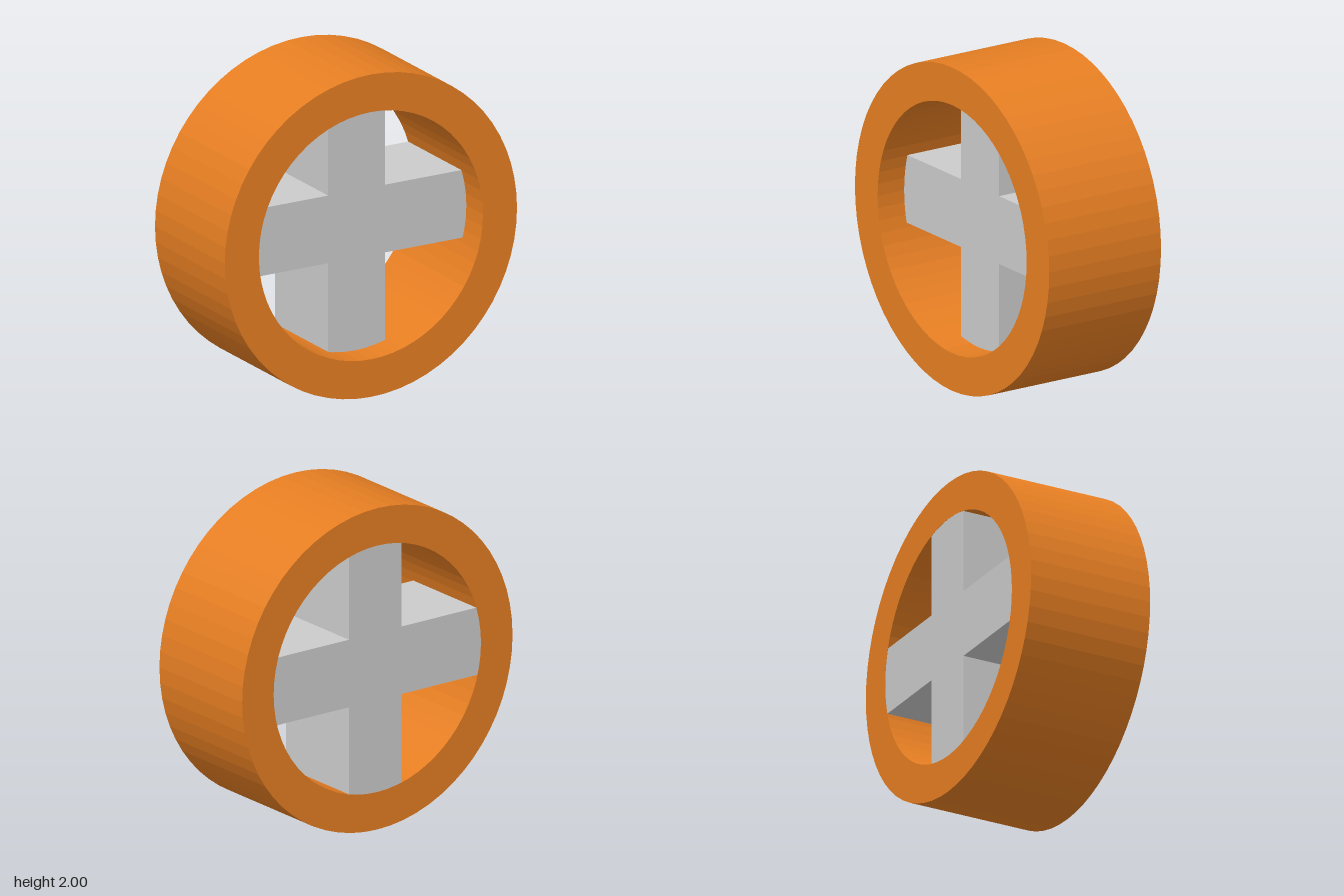
import * as THREE from 'three';

// Extrudes a shape along z between two depths, with sharp facets
function slab(name, shape, zBack, zFront, color) {
  const geometry = new THREE.ExtrudeGeometry(shape, {
    depth: zFront - zBack, bevelEnabled: false, curveSegments: 32,
  });
  geometry.translate(0, 1, zBack);
  const mesh = new THREE.Mesh(geometry, new THREE.MeshStandardMaterial({ color, flatShading: true }));
  mesh.name = name;
  return mesh;
}

export function createModel() {
  const group = new THREE.Group();
  group.name = 'wheel';

  // Rim: 64-sided ring
  const ring = new THREE.Shape().absarc(0, 0, 1, 0, Math.PI * 2, false);
  ring.holes.push(new THREE.Path().absarc(0, 0, 0.767, 0, Math.PI * 2, true));
  group.add(slab('rim', ring, -0.4, 0.4, 0xe67e22));

  // Cross spokes: slightly off centre, flush at the back, recessed at the front
  const l = -0.18, r = 0.21, b = -0.195, t = 0.225, reach = 0.775;
  const cross = new THREE.Shape([
    [l, -reach], [r, -reach], [r, b], [reach, b], [reach, t], [r, t],
    [r, reach], [l, reach], [l, t], [-reach, t], [-reach, b], [l, b],
  ].map(([x, y]) => new THREE.Vector2(x, y)));
  // The back sits a hair inside the rim face so the buried ends stay hidden
  group.add(slab('crossSpokes', cross, -0.399, 0.21, 0xcccccc));

  return group;
}
